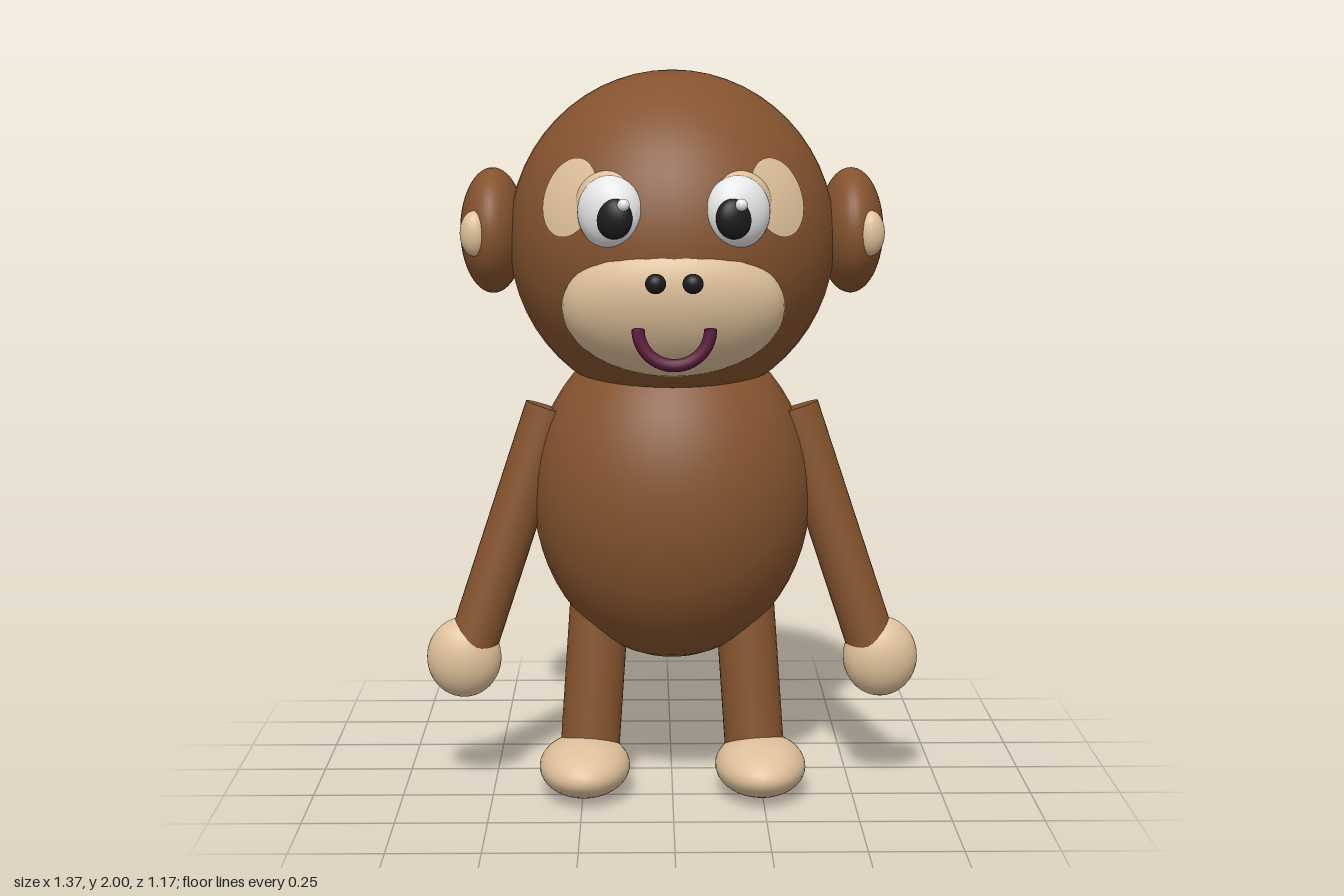
import * as THREE from 'three';

const flat = (name, color) => Object.assign(new THREE.MeshStandardMaterial({ color }), { name });

export function createModel() {
  const brown = flat('brown fur', 0x85532e);
  const tan = flat('tan skin', 0xdfc19b);
  const white = flat('eye white', 0xeeeeee);
  const black = flat('black', 0x1c1c1c);
  const plum = flat('mouth plum', 0x5c1c3c);

  const model = new THREE.Group();
  model.name = 'monkey';

  const add = (name, geometry, material, parent = model) => {
    const mesh = new THREE.Mesh(geometry, material);
    mesh.name = name;
    parent.add(mesh);
    return mesh;
  };
  const ball = (name, material, pos, radii, rot = [0, 0, 0]) => {
    const mesh = add(name, new THREE.SphereGeometry(1, 40, 28), material);
    mesh.position.set(...pos);
    mesh.scale.set(...radii);
    mesh.rotation.set(...rot);
    return mesh;
  };
  // Cylinder running between two points
  const limb = (name, material, a, b, rA, rB, parent = model) => {
    const axis = b.clone().sub(a);
    const mesh = add(name, new THREE.CylinderGeometry(rB, rA, axis.length(), 28), material, parent);
    mesh.position.copy(a).addScaledVector(axis, 0.5);
    mesh.quaternion.setFromUnitVectors(new THREE.Vector3(0, 1, 0), axis.normalize());
    return mesh;
  };
  const v = (x, y, z) => new THREE.Vector3(x, y, z);

  // Head and body
  const headPos = [0, 1.54, 0.08], headR = [0.45, 0.46, 0.465];
  ball('head', brown, headPos, headR);
  ball('body', brown, [0, 0.83, 0.08], [0.39, 0.47, 0.355]);

  // Muzzle, tilted to follow the lower face
  ball('muzzle', tan, [0, 1.38, 0.41], [0.295, 0.2, 0.14], [0.48, 0, 0]);

  // Smile: lower half of a ring
  const mouth = add('mouth', new THREE.TorusGeometry(0.093, 0.017, 14, 32, Math.PI), plum);
  mouth.position.set(0, 1.34, 0.585);
  mouth.rotation.z = Math.PI;
  for (const s of [-1, 1]) {
    const end = ball('mouthEnd', plum, [s * 0.093, 1.34, 0.585], [0.017, 0.004, 0.017]);
    end.castShadow = false;
  }

  // Oval patch lying on the front of the head
  const browPatch = (s) => {
    const geo = new THREE.RingGeometry(0.0001, 1, 36, 6);
    const p = geo.attributes.position;
    const tilt = s * 0.35;
    for (let i = 0; i < p.count; i++) {
      const u = p.getX(i) * 0.066, w = p.getY(i) * 0.105;
      const x = s * 0.268 + u * Math.cos(tilt) - w * Math.sin(tilt);
      const y = 1.668 + u * Math.sin(tilt) + w * Math.cos(tilt);
      const dx = x / headR[0], dy = (y - headPos[1]) / headR[1];
      const z = headPos[2] + headR[2] * Math.sqrt(Math.max(0, 1 - dx * dx - dy * dy));
      p.setXYZ(i, x + dx * 0.006, y + dy * 0.006, z + 0.006);
    }
    geo.computeVertexNormals();
    return geo;
  };

  for (const s of [-1, 1]) {
    const side = s > 0 ? 'left' : 'right';

    // Ears
    ball(side + 'Ear', brown, [s * 0.495, 1.56, 0.06], [0.09, 0.173, 0.172]);
    ball(side + 'InnerEar', tan, [s * 0.537, 1.56, 0.195], [0.04, 0.062, 0.038]);

    // Eyes
    const yaw = [0, s * 0.35, 0];
    add(side + 'BrowPatch', browPatch(s), tan);
    ball(side + 'Eyelid', tan, [s * 0.172, 1.65, 0.455], [0.089, 0.091, 0.056], yaw);
    ball(side + 'Eye', white, [s * 0.165, 1.635, 0.487], [0.088, 0.095, 0.065], yaw);
    ball(side + 'Pupil', black, [s * 0.155, 1.622, 0.538], [0.05, 0.054, 0.031], yaw);
    ball(side + 'EyeGlint', white, [s * 0.151 + 0.021, 1.658, 0.567], [0.016, 0.016, 0.016]);

    // Nostrils
    ball(side + 'Nostril', black, [s * 0.048, 1.457, 0.578], [0.027, 0.026, 0.024]);

    // Arms and hands
    limb(side + 'Arm', brown, v(s * 0.34, 1.07, 0.107), v(s * 0.558, 0.41, 0.155), 0.069, 0.069);
    ball(side + 'Hand', tan, [s * 0.583, 0.372, 0.155], [0.104, 0.113, 0.08]);

    // Legs and feet
    limb(side + 'Leg', brown, v(s * 0.2, 0.58, 0.1), v(s * 0.233, 0.09, 0.157), 0.083, 0.083);
    ball(side + 'Foot', tan, [s * 0.245, 0.079, 0.224], [0.126, 0.078, 0.19]);
  }

  // Tail: short straight segments with round joints, bent sharply near the base
  const tail = new THREE.Group();
  tail.name = 'tail';
  model.add(tail);
  const base = new THREE.LineCurve3(v(0.01, 0.495, -0.255), v(0.145, 0.595, -0.53));
  const upper = new THREE.CatmullRomCurve3([
    v(0.145, 0.595, -0.53), v(0.165, 0.622, -0.545), v(0.19, 0.74, -0.41),
    v(0.205, 0.92, -0.285), v(0.235, 1.08, -0.247), v(0.28, 1.255, -0.278),
  ]);
  const joints = [...base.getSpacedPoints(5), ...upper.getSpacedPoints(12).slice(1)];
  for (let i = 1; i < joints.length; i++) {
    limb('tailSegment', brown, joints[i - 1], joints[i], 0.041, 0.037, tail);
    const joint = add('tailJoint', new THREE.SphereGeometry(0.042, 20, 14), brown, tail);
    joint.position.copy(joints[i]);
  }

  return model;
}
